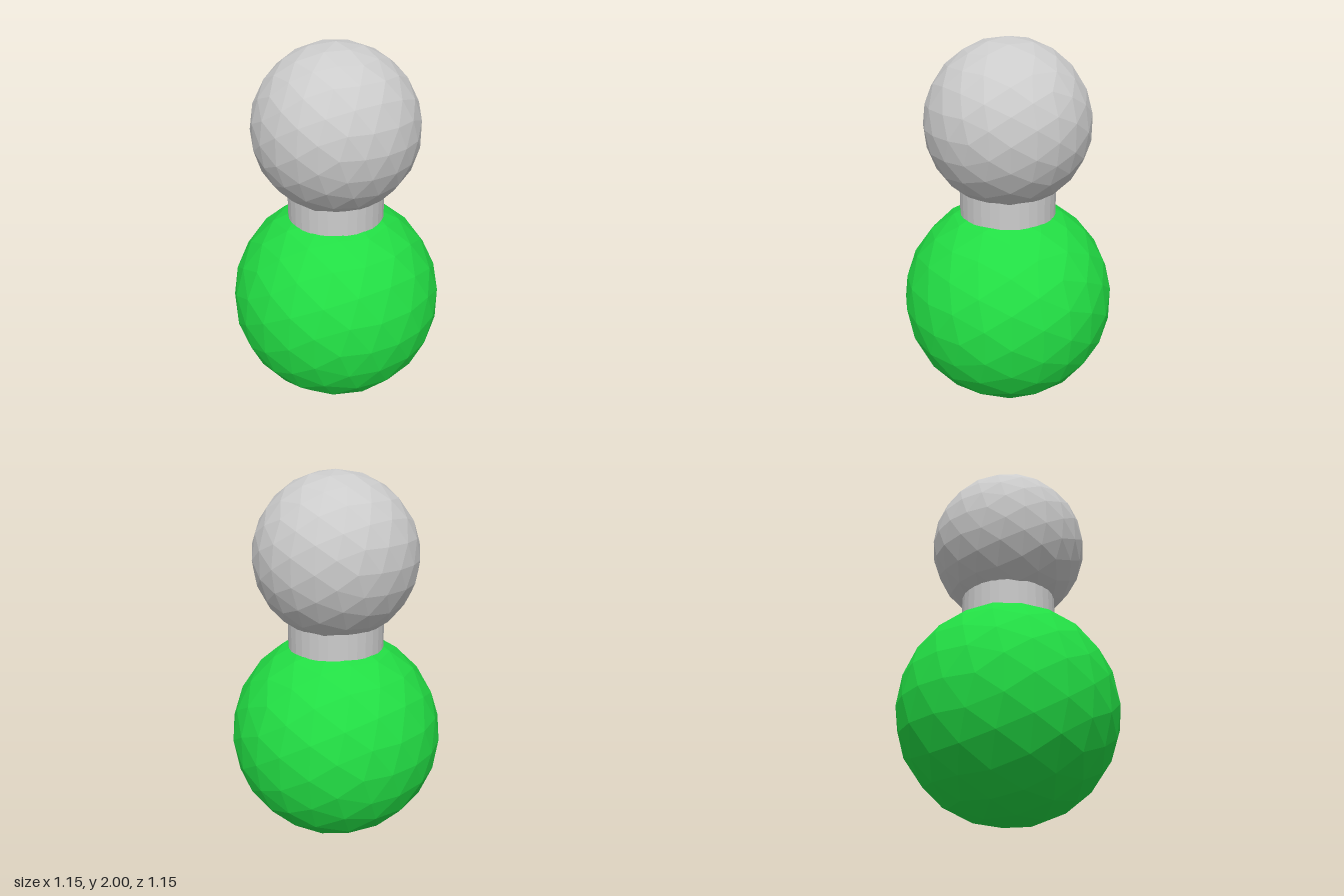
import * as THREE from 'three';

const green = new THREE.MeshStandardMaterial({ color: 0x22dd44, flatShading: true });
const grey = new THREE.MeshStandardMaterial({ color: 0xcccccc, flatShading: true });

// Icosphere: halve every edge twice, pushing onto the sphere each time; one pole lies on z
function icosphere(radius) {
  let geometry = new THREE.IcosahedronGeometry(radius, 0);
  for (let i = 0; i < 2; i++) {
    const points = Array.from(geometry.attributes.position.array);
    const faces = Array.from({ length: points.length / 3 }, (_, k) => k);
    geometry = new THREE.PolyhedronGeometry(points, faces, radius, 1);
  }
  geometry.rotateY(-Math.atan((1 + Math.sqrt(5)) / 2));
  geometry.computeVertexNormals();
  return geometry;
}

export function createModel() {
  const model = new THREE.Group();
  model.name = 'figure';

  const add = (name, geometry, material, y) => {
    const mesh = new THREE.Mesh(geometry, material);
    mesh.name = name;
    mesh.position.y = y;
    model.add(mesh);
  };

  add('body', icosphere(0.577), green, 0.577);
  // Neck collar, its ends buried in both balls
  add('neck', new THREE.CylinderGeometry(0.256, 0.256, 0.24, 32), grey, 1.16);
  add('head', icosphere(0.432), grey, 1.568);

  return model;
}
